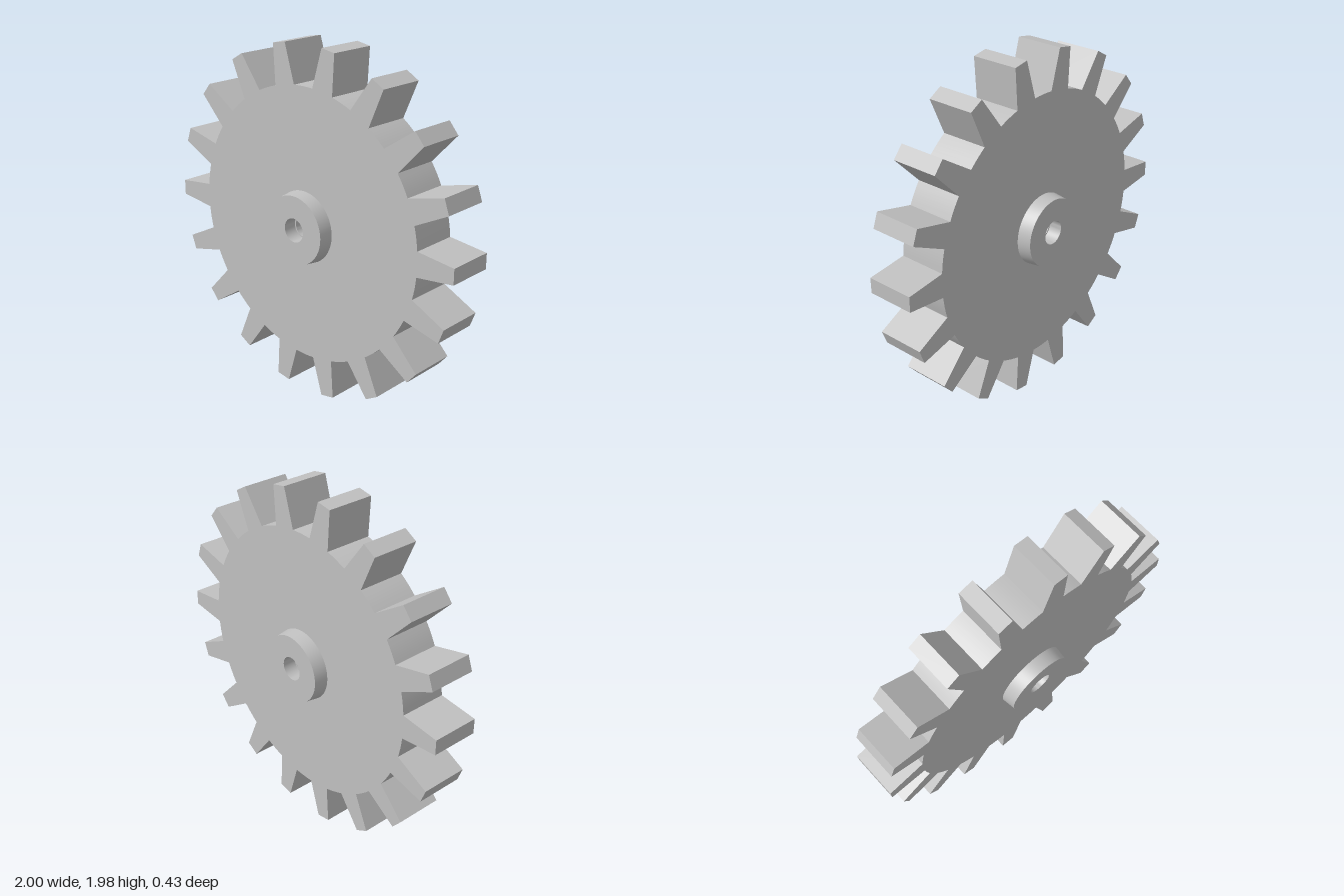
import * as THREE from 'three';
import { toCreasedNormals } from 'three/addons/utils/BufferGeometryUtils.js';

const TEETH = 18;
const ROOT_RADIUS = 0.778;
const ROOT_HALF_ANGLE = 0.09; // half the tooth width at its root, in radians
const TIP_X = 1;
const TIP_HALF_WIDTH = 0.044;
const HALF_THICKNESS = 0.137;
const HUB_Z = 0.215;
const CENTRE_Y = 0.992;

// Gear outline: tapered teeth joined by arcs along the root circle
function gearShape() {
  const points = [];
  const step = (Math.PI * 2) / TEETH;
  const polar = (r, a) => new THREE.Vector2(r * Math.cos(a), r * Math.sin(a));
  const tipAngle = Math.atan2(TIP_HALF_WIDTH, TIP_X);
  const tipRadius = Math.hypot(TIP_X, TIP_HALF_WIDTH);
  const arcSegments = 4;
  for (let i = 0; i < TEETH; i++) {
    const a = i * step;
    points.push(polar(tipRadius, a - tipAngle), polar(tipRadius, a + tipAngle));
    for (let k = 0; k <= arcSegments; k++) {
      const t = k / arcSegments;
      points.push(polar(ROOT_RADIUS, a + ROOT_HALF_ANGLE + t * (step - 2 * ROOT_HALF_ANGLE)));
    }
  }
  const shape = new THREE.Shape(points);
  const bore = new THREE.Path();
  bore.absarc(0, 0, 0.06, 0, Math.PI * 2, true);
  shape.holes.push(bore);
  return shape;
}

export function createModel() {
  const model = new THREE.Group();
  model.name = 'spurGear';
  const metal = new THREE.MeshStandardMaterial({ color: 0xc0c0c0 });
  metal.name = 'greyMetal';

  // Toothed disc with a centre bore
  const disc = new THREE.ExtrudeGeometry(gearShape(), {
    depth: HALF_THICKNESS * 2, bevelEnabled: false, curveSegments: 24,
  });
  disc.translate(0, 0, -HALF_THICKNESS);
  const wheel = new THREE.Mesh(toCreasedNormals(disc, 0.5), metal);
  wheel.name = 'toothedWheel';
  wheel.position.y = CENTRE_Y;
  model.add(wheel);

  // Tapered hub collar on each face, with a slightly wider bore
  const profile = [
    [0.205, HALF_THICKNESS], [0.195, HUB_Z], [0.068, HUB_Z], [0.068, HALF_THICKNESS],
  ].map(([r, h]) => new THREE.Vector2(r, h));
  const collar = toCreasedNormals(new THREE.LatheGeometry(profile, 48), 0.5);
  for (const side of [1, -1]) {
    const hub = new THREE.Mesh(collar, metal);
    hub.name = side > 0 ? 'frontHub' : 'backHub';
    hub.rotation.x = side * Math.PI / 2;
    hub.position.y = CENTRE_Y;
    model.add(hub);
  }
  return model;
}
